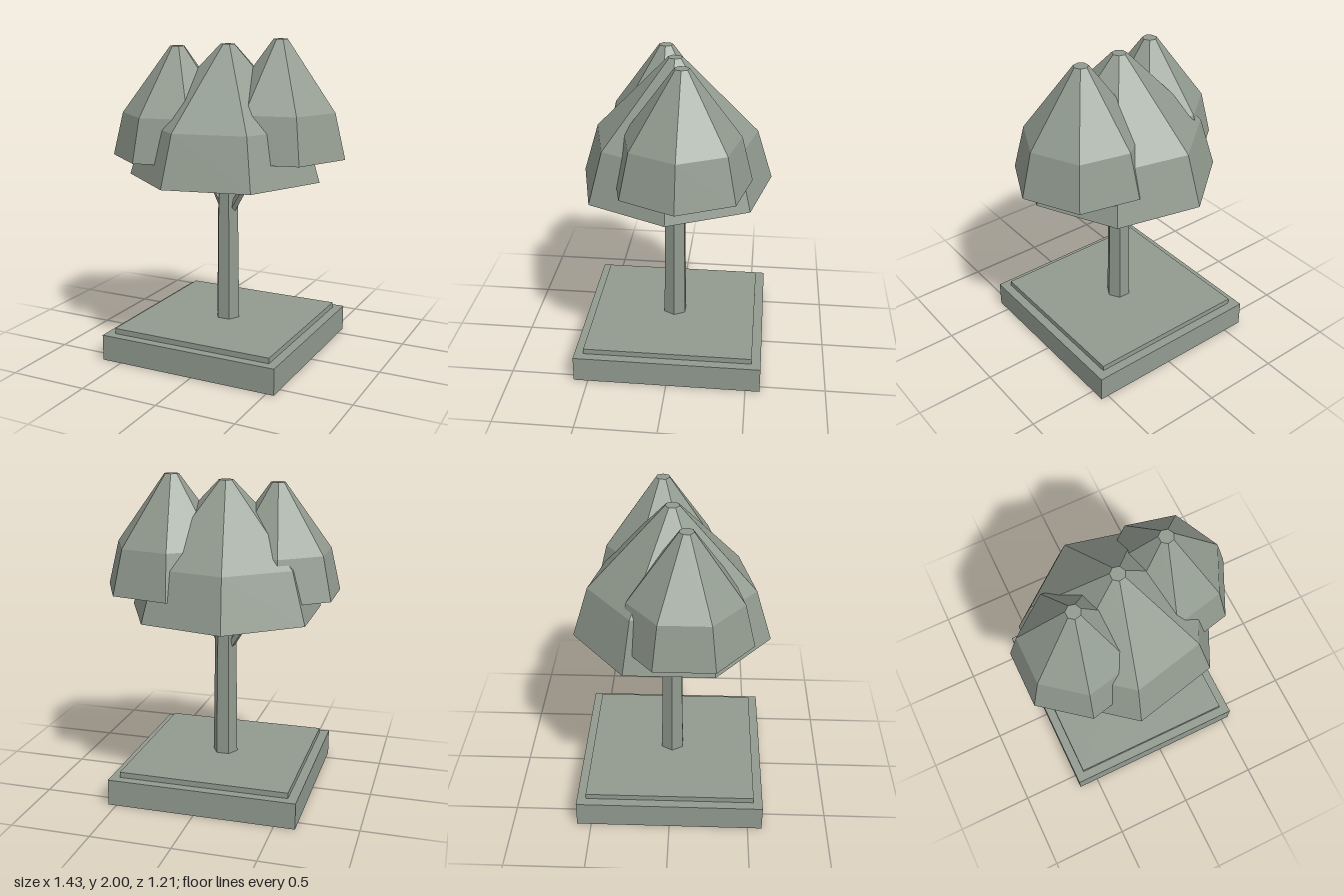
import * as THREE from 'three';

export function createModel() {
  const model = new THREE.Group();
  const material = new THREE.MeshStandardMaterial({ color: 0x929b90, flatShading: true });
  material.name = 'sage grey';
  const centreX = -0.04;

  function add(name, geometry, x, y, z) {
    const mesh = new THREE.Mesh(geometry, material);
    mesh.name = name;
    mesh.position.set(x, y, z);
    model.add(mesh);
    return mesh;
  }

  // Two-step square base
  add('basePlinth', new THREE.BoxGeometry(1.18, 0.165, 1.18), centreX, 0.0825, 0);
  add('baseTop', new THREE.BoxGeometry(1.065, 0.1, 1.065), centreX, 0.15, 0);

  // Hexagonal tapered trunk, one corner towards +x
  add('trunk', new THREE.CylinderGeometry(0.066, 0.08, 1.1, 6, 1, false, Math.PI / 2), centreX, 0.75, 0);

  // Two slim branches rising from the trunk into the foliage
  function addBranch(name, dir) {
    const from = new THREE.Vector3(centreX, 0.87, 0);
    const step = new THREE.Vector3(...dir).multiplyScalar(0.45);
    const mid = from.clone().addScaledVector(step, 0.5);
    const branch = add(name, new THREE.CylinderGeometry(0.022, 0.027, step.length(), 5), mid.x, mid.y, mid.z);
    branch.quaternion.setFromUnitVectors(new THREE.Vector3(0, 1, 0), step.normalize());
  }
  addBranch('leftBranch', [0.64, 1, 0.2]);
  addBranch('rightBranch', [-0.64, 1, -0.23]);

  // Seven-sided closed foliage crowns: flared skirt, cone, small flat tip
  function addCrown(name, x, z, rings) {
    const bottom = rings[0][1], top = rings[2][1];
    const profile = [[0, bottom], ...rings, [0, top]].map(([r, y]) => new THREE.Vector2(r, y));
    add(name, new THREE.LatheGeometry(profile, 7, Math.PI / 2).toNonIndexed(), x, 0, z);
  }
  addCrown('middleCrown', centreX, 0, [[0.62, 1.15], [0.52, 1.47], [0.045, 1.965]]);
  addCrown('leftCrown', 0.285, -0.07, [[0.43, 1.29], [0.36, 1.57], [0.045, 2.0]]);
  addCrown('rightCrown', -0.345, 0.09, [[0.415, 1.265], [0.35, 1.535], [0.045, 1.95]]);

  return model;
}
